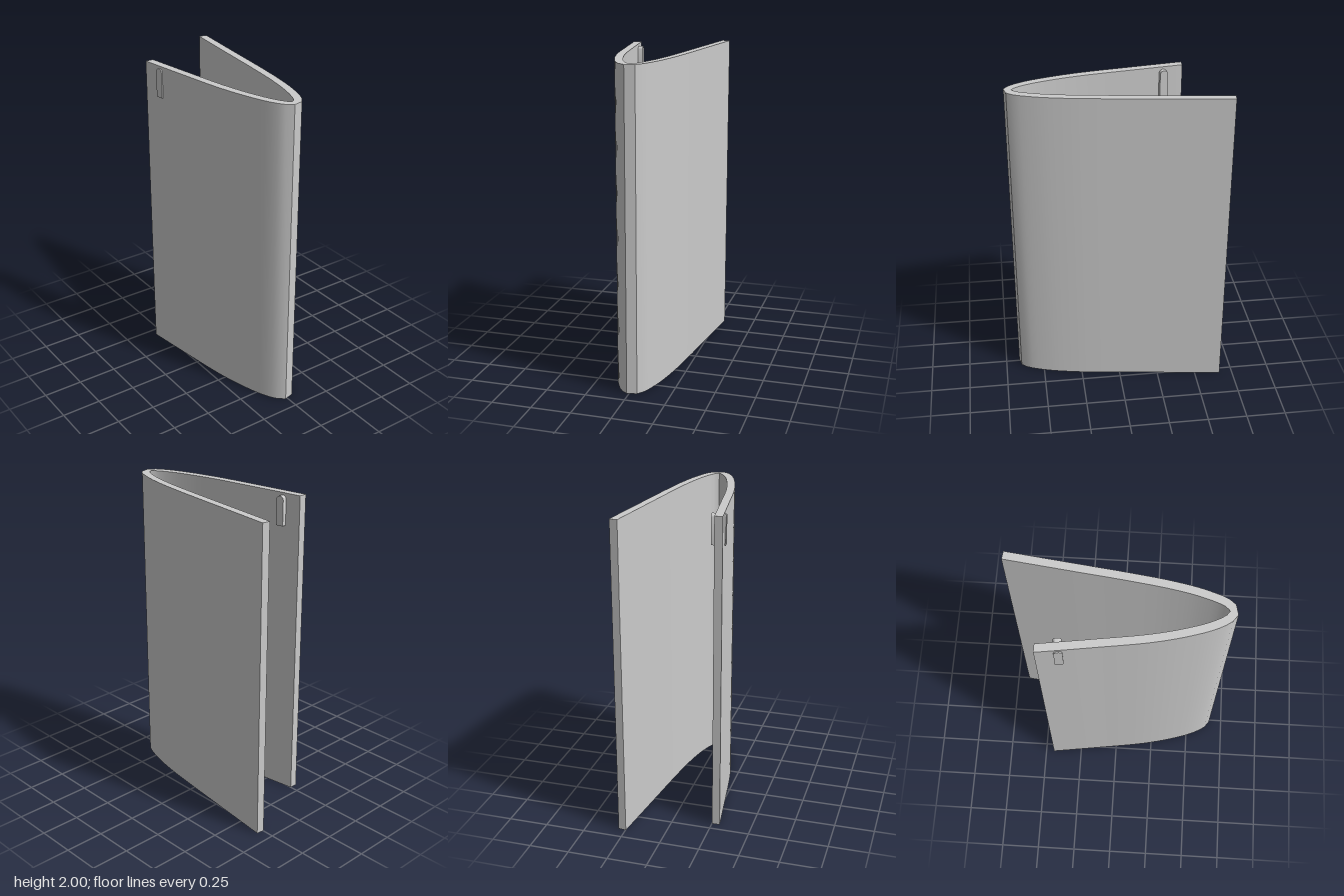
import * as THREE from 'three';
import { toCreasedNormals } from 'three/addons/utils/BufferGeometryUtils.js';

const HEIGHT = 2;
const HALF_THICKNESS = 0.025;

// Centre line of the folded sheet as (x, z), from the short right leaf to the long left leaf
const CENTRE = [
  [-0.275, -0.445], [-0.228, -0.12], [-0.18, 0.19], [-0.135, 0.38], [-0.08, 0.54],
  [-0.03, 0.622], [0.008, 0.642], [0.048, 0.612], [0.1, 0.485], [0.143, 0.3],
  [0.178, 0.07], [0.225, -0.3], [0.272, -0.669],
];

// Closed outline: the centre line offset to both sides (shape y is -z)
function sheetOutline() {
  const curve = new THREE.CatmullRomCurve3(CENTRE.map(([x, z]) => new THREE.Vector3(x, -z, 0)));
  const outer = [], inner = [];
  const n = 64;
  for (let i = 0; i <= n; i++) {
    const p = curve.getPointAt(i / n), t = curve.getTangentAt(i / n);
    const offset = new THREE.Vector2(t.y, -t.x).multiplyScalar(HALF_THICKNESS);
    outer.push(new THREE.Vector2(p.x + offset.x, p.y + offset.y));
    inner.push(new THREE.Vector2(p.x - offset.x, p.y - offset.y));
  }
  // The short leaf is cut square to z
  outer[0].set(-0.3, 0.445);
  inner[0].set(-0.25, 0.445);
  return new THREE.Shape([...outer, ...inner.reverse()]);
}

export function createModel() {
  const model = new THREE.Group();
  model.name = 'foldedPanel';
  const material = new THREE.MeshStandardMaterial({ color: 0xcccccc });

  // Sheet bent into a narrow U, standing upright
  const sheetGeometry = new THREE.ExtrudeGeometry(sheetOutline(), { depth: HEIGHT, bevelEnabled: false });
  sheetGeometry.rotateX(-Math.PI / 2);
  const sheet = new THREE.Mesh(toCreasedNormals(sheetGeometry, 0.6), material);
  sheet.name = 'bentSheet';
  model.add(sheet);

  // Small round-topped tab passing through the short leaf near its top corner
  const r = 0.025, length = 0.087;
  const tabShape = new THREE.Shape();
  tabShape.moveTo(-r, 1.8);
  tabShape.lineTo(r, 1.8);
  tabShape.lineTo(r, 1.985 - r);
  tabShape.absarc(0, 1.985 - r, r, 0, Math.PI, false);
  tabShape.closePath();
  const tabGeometry = new THREE.ExtrudeGeometry(tabShape, { depth: length, bevelEnabled: false, curveSegments: 16 });
  tabGeometry.translate(0, 0, -length / 2).rotateY(Math.PI / 2);
  const tab = new THREE.Mesh(toCreasedNormals(tabGeometry, 0.6), material);
  tab.name = 'roundedTab';
  tab.position.set(-0.246, 0, -0.32);
  tab.rotation.y = 0.14;
  model.add(tab);

  return model;
}
